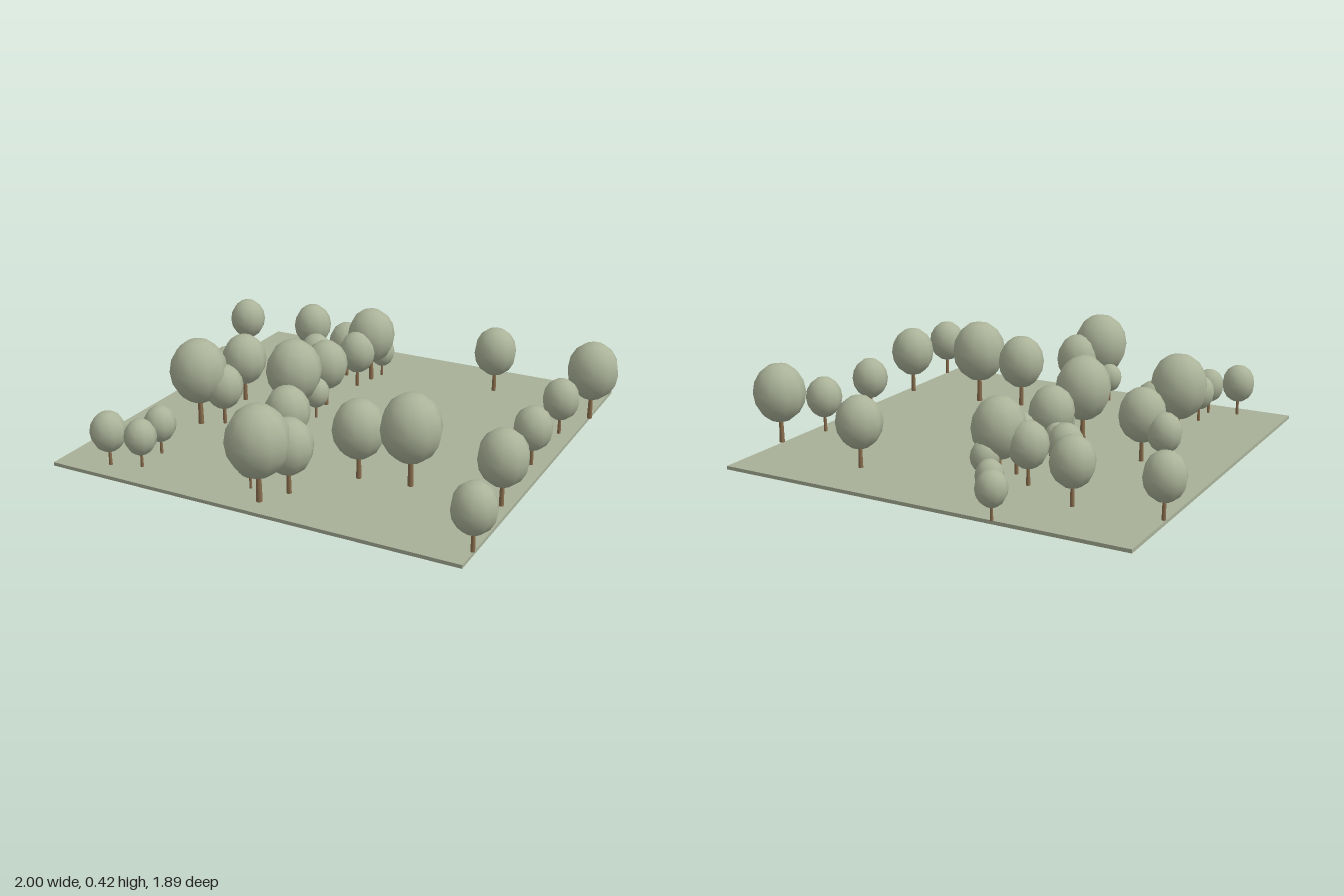
import * as THREE from 'three';

const GROUND_TOP = 0.015;

// Each tree: x, z, crown radius. All heights follow from the radius.
const TREES = [
  [-0.37, -0.89, 0.063], [-0.28, -0.748, 0.057], [-0.915, -0.585, 0.085],
  [-0.563, -0.623, 0.09], [-0.31, -0.5, 0.085], [-0.185, -0.51, 0.112],
  [-0.162, -0.58, 0.06], [-0.406, -0.37, 0.075], [-0.205, -0.405, 0.085],
  [0.39, -0.64, 0.098], [0.885, -0.532, 0.113], [0.818, -0.313, 0.08],
  [0.818, 0.037, 0.082], [0.84, 0.43, 0.102], [0.877, 0.806, 0.088],
  [-0.283, -0.2, 0.056], [-0.224, -0.136, 0.098], [-0.69, -0.04, 0.074],
  [-0.58, -0.016, 0.101], [-0.195, 0.013, 0.06], [-0.254, 0.099, 0.122],
  [-0.52, 0.25, 0.087], [-0.61, 0.302, 0.125], [-0.112, 0.403, 0.097],
  [0.25, 0.467, 0.108], [0.462, 0.435, 0.125], [-0.583, 0.635, 0.068],
  [-0.578, 0.777, 0.067], [-0.703, 0.82, 0.075], [-0.085, 0.74, 0.058],
  [0.07, 0.708, 0.101], [0.003, 0.82, 0.128],
];

function makeMaterial(name, color) {
  const material = new THREE.MeshStandardMaterial({ color });
  material.name = name;
  return material;
}

export function createModel() {
  const model = new THREE.Group();
  model.name = 'grove';

  const groundMaterial = makeMaterial('ground green', 0xa8b098);
  const leafMaterial = makeMaterial('leaf green', 0xabb399);
  const barkMaterial = makeMaterial('bark brown', 0x8b6f4e);

  // Thin square of ground
  const ground = new THREE.Mesh(new THREE.BoxGeometry(1.805, GROUND_TOP, 1.8), groundMaterial);
  ground.name = 'ground';
  ground.position.set(-0.022, GROUND_TOP / 2, 0.01);
  model.add(ground);

  // Unit tree: crown radius 1, standing on y = 0
  const crownGeometry = new THREE.SphereGeometry(1, 10, 8);
  crownGeometry.scale(1, 1.15, 1);
  crownGeometry.translate(0, 1.98, 0);
  const trunkGeometry = new THREE.CylinderGeometry(0.075, 0.1, 1.2, 6);
  trunkGeometry.translate(0, 0.6, 0);

  TREES.forEach(([x, z, radius], i) => {
    const tree = new THREE.Group();
    tree.name = `tree${i + 1}`;
    const trunk = new THREE.Mesh(trunkGeometry, barkMaterial);
    trunk.name = 'trunk';
    const crown = new THREE.Mesh(crownGeometry, leafMaterial);
    crown.name = 'crown';
    tree.add(trunk, crown);
    tree.position.set(x, GROUND_TOP, z);
    tree.scale.setScalar(radius);
    model.add(tree);
  });

  return model;
}
